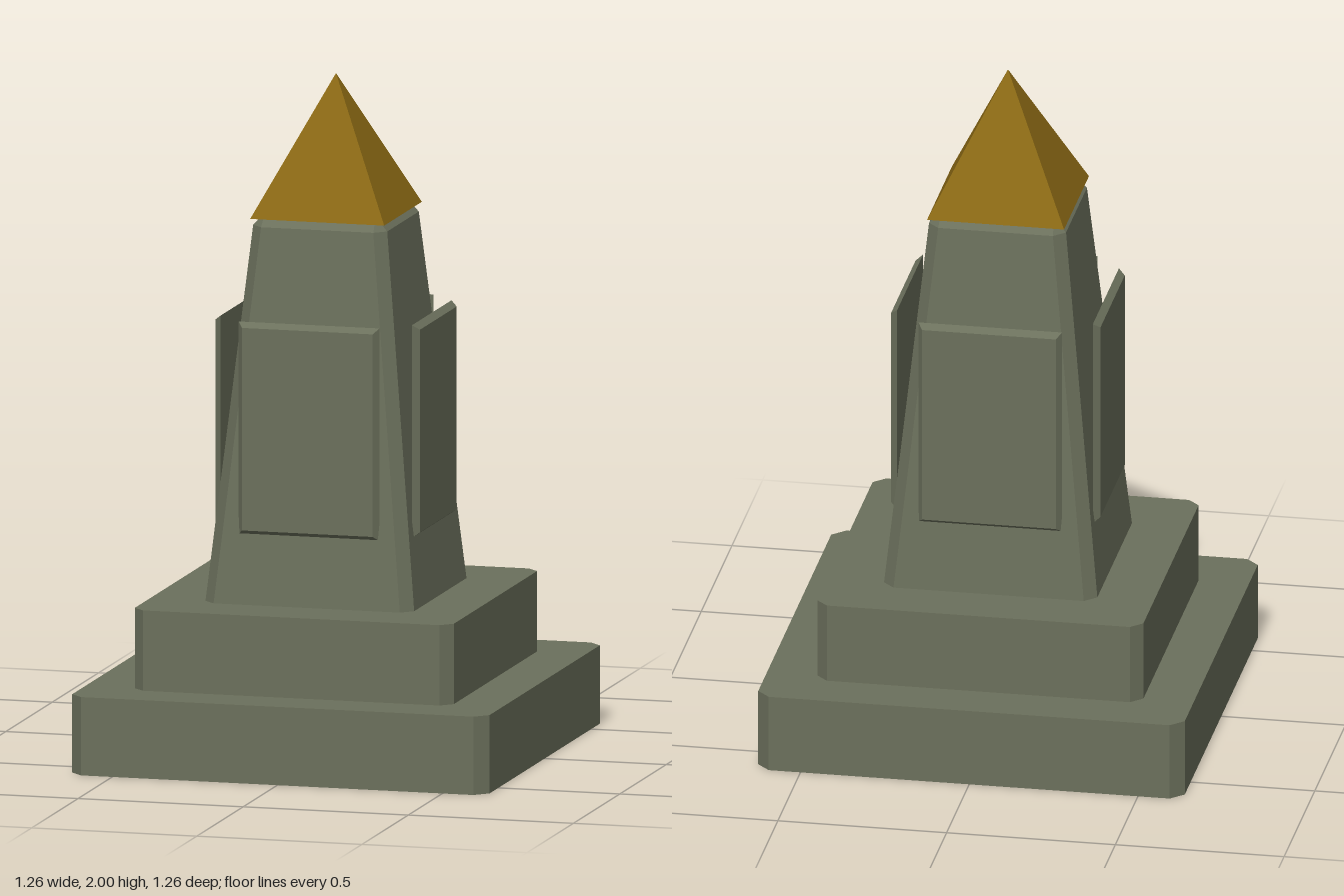
import * as THREE from 'three';

// Square outline with clipped corners, as [x, z] points
function clippedSquare(half, cut) {
  const a = half, b = half - cut;
  return [[b, a], [a, b], [a, -b], [b, -a], [-b, -a], [-a, -b], [-a, b], [-b, a]];
}

// Closed flat-faced solid through stacked rings: [y, half width, corner cut]
function stackedSolid(levels) {
  const rings = levels.map(([y, half, cut]) =>
    clippedSquare(half, cut).map(([x, z]) => new THREE.Vector3(x, y, z)));
  const pos = [];
  const tri = (...pts) => pts.forEach((p) => pos.push(p.x, p.y, p.z));
  for (let r = 0; r < rings.length - 1; r++) {
    const lo = rings[r], hi = rings[r + 1];
    for (let i = 0; i < 8; i++) {
      const j = (i + 1) % 8;
      tri(lo[i], lo[j], hi[j]);
      tri(lo[i], hi[j], hi[i]);
    }
  }
  const bottom = rings[0], top = rings[rings.length - 1];
  for (let i = 1; i < 7; i++) {
    tri(top[0], top[i], top[i + 1]);
    tri(bottom[0], bottom[i + 1], bottom[i]);
  }
  const geo = new THREE.BufferGeometry();
  geo.setAttribute('position', new THREE.Float32BufferAttribute(pos, 3));
  geo.computeVertexNormals();
  return geo;
}

// Thin upright plate whose front face is inset on every edge
function bevelledPlate(width, height, depth, inset) {
  const geo = new THREE.BoxGeometry(width, height, depth);
  const p = geo.attributes.position;
  for (let i = 0; i < p.count; i++) {
    if (p.getZ(i) > 0) {
      p.setX(i, p.getX(i) - Math.sign(p.getX(i)) * inset);
      p.setY(i, p.getY(i) - Math.sign(p.getY(i)) * inset);
    }
  }
  const flat = geo.toNonIndexed();
  flat.computeVertexNormals();
  return flat;
}

export function createModel() {
  const stone = new THREE.MeshStandardMaterial({ color: 0x6b705c });
  stone.name = 'stone';
  const gold = new THREE.MeshStandardMaterial({ color: 0x8b6914 });
  gold.name = 'gold';

  const model = new THREE.Group();
  model.name = 'obelisk';
  const add = (name, geo, mat) => {
    const mesh = new THREE.Mesh(geo, mat);
    mesh.name = name;
    model.add(mesh);
    return mesh;
  };

  // Two-step base
  add('lowerPlinth', stackedSolid([[0, 0.632, 0.038], [0.232, 0.632, 0.038]]), stone);
  add('upperPlinth', stackedSolid([[0.232, 0.483, 0.034], [0.47, 0.483, 0.034]]), stone);

  // Tapered shaft with a small bevel at the top
  add('shaft', stackedSolid([[0.47, 0.316, 0.034], [1.57, 0.203, 0.033], [1.595, 0.18, 0.012]]), stone);

  // Four upright panels, one for each side
  const panelGeo = bevelledPlate(0.426, 0.63, 0.02, 0.015);
  ['frontPanel', 'leftPanel', 'backPanel', 'rightPanel'].forEach((name, i) => {
    const panel = add(name, panelGeo, stone);
    const angle = i * Math.PI / 2;
    panel.position.set(Math.sin(angle) * 0.3, 0.989, Math.cos(angle) * 0.3);
    panel.rotation.y = angle;
  });

  // Pyramid cap
  const capGeo = new THREE.ConeGeometry(0.203 * Math.SQRT2, 0.407, 4).rotateY(Math.PI / 4).toNonIndexed();
  capGeo.computeVertexNormals();
  add('pyramidCap', capGeo, gold).position.y = 1.593 + 0.407 / 2;

  return model;
}
